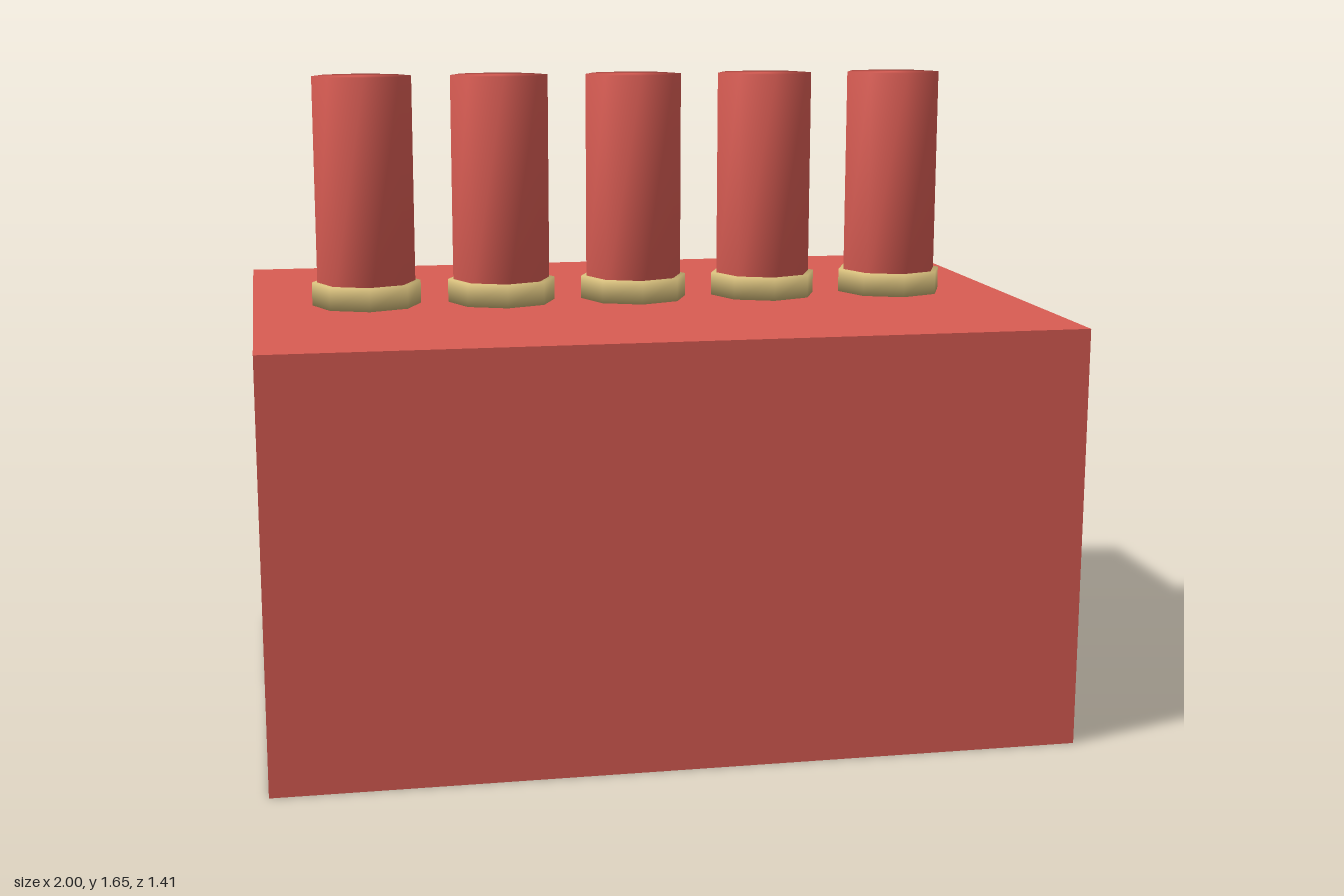
import * as THREE from 'three';
import { mergeVertices } from 'three/addons/utils/BufferGeometryUtils.js';

const red = new THREE.MeshStandardMaterial({ color: 0xd95c53 });
const gold = new THREE.MeshStandardMaterial({ color: 0xd4bc7a });

// Eight-sided closed cylinder with normals smoothed across the rims
function softOctagon(radius, bottom, top) {
  let geometry = new THREE.CylinderGeometry(radius, radius, top - bottom, 8);
  geometry.deleteAttribute('normal');
  geometry.deleteAttribute('uv');
  geometry = mergeVertices(geometry, 1e-4);
  geometry.computeVertexNormals();
  geometry.translate(0, (top + bottom) / 2, 0);
  return geometry;
}

export function createModel() {
  const model = new THREE.Group();
  model.name = 'blockWithPosts';

  const add = (name, geometry, material, parent = model) => {
    const mesh = new THREE.Mesh(geometry, material);
    mesh.name = name;
    parent.add(mesh);
    return mesh;
  };

  // Solid block
  const blockHeight = 1.06;
  add('block', new THREE.BoxGeometry(2, blockHeight, 1.414).translate(0, blockHeight / 2, 0), red);

  // Row of five posts, each with a collar at its foot
  const collarGeometry = softOctagon(0.141, blockHeight, 1.12);
  const postGeometry = softOctagon(0.127, blockHeight, 1.65);
  for (let i = -2; i <= 2; i++) {
    const unit = new THREE.Group();
    unit.name = `postUnit${i + 3}`;
    unit.position.x = i * 0.3535;
    add('collar', collarGeometry, gold, unit);
    add('post', postGeometry, red, unit);
    model.add(unit);
  }

  return model;
}
